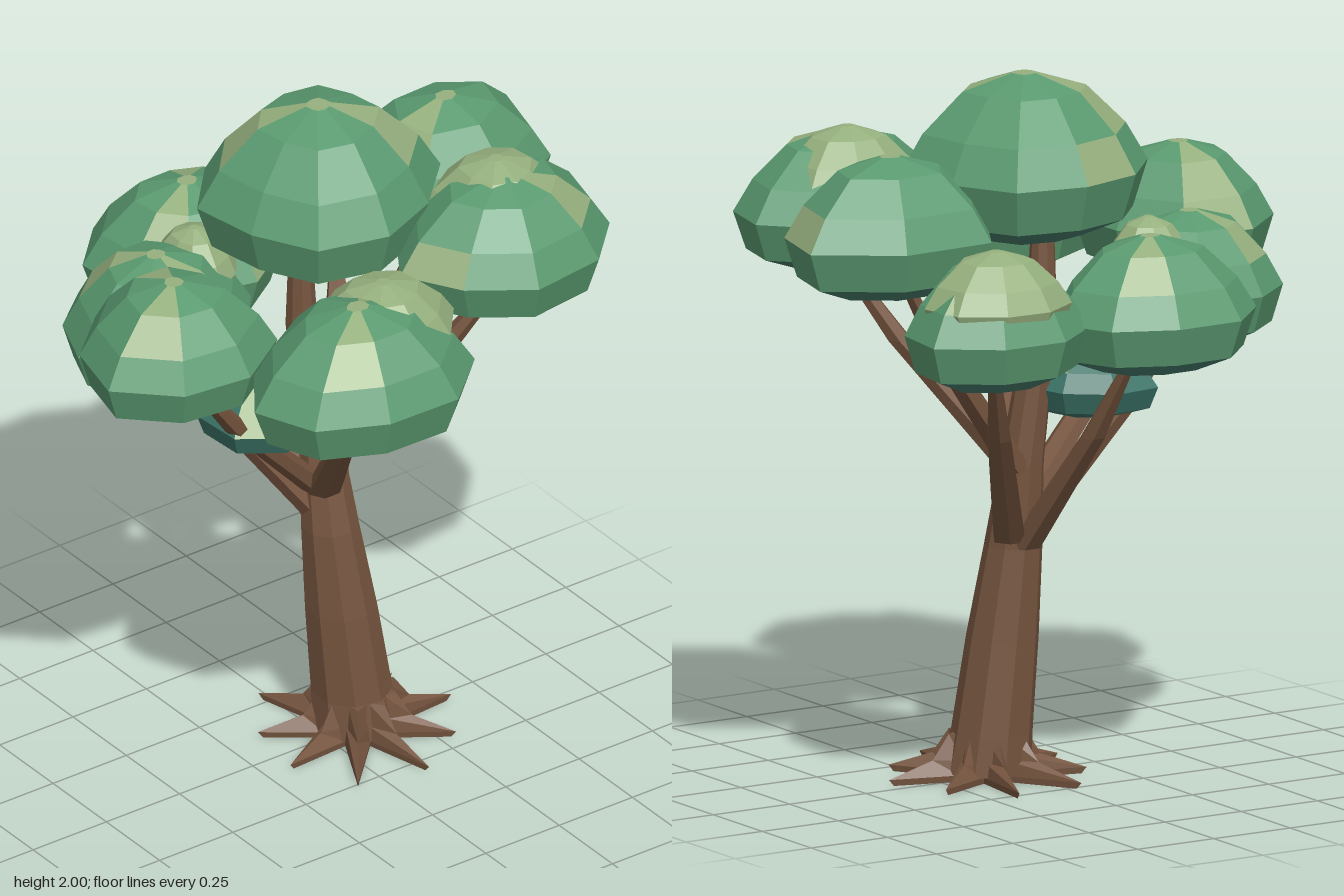
import * as THREE from 'three';

const mat = (color) => new THREE.MeshStandardMaterial({ color, flatShading: true });
const bark = mat(0x76553f);
const leaf = mat(0x5a9a70);
const leafLight = mat(0x96b07e);
const leafUnder = mat(0x487c6c);
const leafTeal = mat(0x3c7468);

// Closed ring of n points; wobble(i) scales the radius of each point
function ring(x, y, z, rx, rz, n, turn = 0, wobble = () => 1) {
  return Array.from({ length: n }, (_, i) => {
    const a = i / n * Math.PI * 2 + turn;
    return new THREE.Vector3(x + Math.cos(a) * rx * wobble(i), y, z + Math.sin(a) * rz * wobble(i));
  });
}

// Joins rings (top to bottom, ends closed to a point) with flat faces; pick(row, side) gives the material
function loft(name, rings, pick) {
  const group = new THREE.Group();
  group.name = name;
  const faces = new Map();
  const n = rings[0].length;
  for (let k = 0; k < rings.length - 1; k++) {
    for (let i = 0; i < n; i++) {
      const j = (i + 1) % n;
      const [a, b, c, d] = [rings[k][i], rings[k][j], rings[k + 1][j], rings[k + 1][i]];
      const m = pick(k, i);
      if (!faces.has(m)) faces.set(m, []);
      if (k > 0) faces.get(m).push(a, b, d);
      if (k < rings.length - 2) faces.get(m).push(b, c, d);
    }
  }
  for (const [m, points] of faces) {
    const geometry = new THREE.BufferGeometry().setFromPoints(points);
    geometry.computeVertexNormals();
    const mesh = new THREE.Mesh(geometry, m);
    mesh.name = name;
    group.add(mesh);
  }
  return group;
}

// Leaf clump: an uneven ring scaled by a domed profile of [scale, height]
const dome = [[0, 1], [0.1, 1], [0.5, 0.9], [0.82, 0.65], [1, 0.41], [0.88, 0.12], [0.5, 0], [0, 0]];
function clump(name, main, x, z, rx, rz, y0, y1, sides, turn) {
  const wobble = (i) => 1.01 + 0.06 * Math.cos(i * 2.4);
  const rings = dome.map(([s, t]) =>
    ring(x, y0 + (y1 - y0) * t, z, rx * s, rz * s, sides, turn, wobble));
  return loft(name, rings, (k, i) => {
    if (main === leafLight || k === 0) return leafLight;
    if (k > 4) return main === leaf ? leafUnder : main;
    const pale = k < 3 ? (i + sides) % 5 === 0 : k === 3 && (i * 3 + sides) % 7 === 0;
    return pale ? leafLight : main;
  });
}

// Tapered limb through [x, y, z, radius] stations, bottom to top
function limb(name, stations, sides) {
  const rings = stations.map(([x, y, z, r]) => ring(x, y, z, r, r, sides)).reverse();
  const [x, y, z] = stations[stations.length - 1];
  rings.unshift(ring(x, y, z, 0, 0, sides));
  const [bx, by, bz] = stations[0];
  rings.push(ring(bx, by, bz, 0, 0, sides));
  return loft(name, rings, () => bark);
}

export function createModel() {
  const tree = new THREE.Group();
  tree.name = 'tree';

  // Trunk leaning to the back
  tree.add(limb('trunk', [
    [0.1, 0.02, 0, 0.125], [0.093, 0.13, -0.01, 0.115], [0.067, 0.4, -0.024, 0.102],
    [0.045, 0.66, -0.045, 0.082], [0.04, 0.9, -0.08, 0.062],
    [-0.005, 1.3, -0.11, 0.045], [-0.01, 1.65, -0.11, 0.028],
  ], 9));

  // Star of nine pointed roots around the foot: height, tip radius, valley radius
  const star = [[0.13, 0, 0], [0.13, 0.115, 0.085], [0.06, 0.165, 0.095],
    [0.018, 0.3, 0.105], [0, 0.285, 0.1], [0, 0, 0]];
  tree.add(loft('roots', star.map(([y, tip, valley]) =>
    ring(0.1, y, 0.01, 1, 1, 18, 0.1, (i) => (i % 2 ? valley : tip * (1 + 0.08 * Math.sin(i * 2.3))))),
  () => bark));

  // Branches from trunk to clump, bending upward
  const branches = [
    [[0.02, 0.78, -0.04], [-0.24, 1.4, 0.46]],
    [[0.02, 0.78, -0.06], [-0.52, 1.39, 0.05]],
    [[0.05, 0.88, -0.05], [0.45, 1.5, 0.26]],
    [[0.06, 0.88, -0.09], [0.48, 1.5, -0.14]],
    [[0.02, 0.7, -0.07], [-0.38, 1.3, -0.25]],
    [[0.04, 0.66, -0.09], [-0.05, 1.28, -0.52]],
    [[0.08, 0.68, -0.08], [0.39, 1.3, -0.48]],
  ];
  for (const [p, q] of branches) {
    const at = (t, h, r) => [
      p[0] + (q[0] - p[0]) * t, p[1] + (q[1] - p[1]) * h, p[2] + (q[2] - p[2]) * t, r];
    tree.add(limb('branch', [at(0, 0, 0.05), at(0.62, 0.57, 0.037), at(1, 1, 0.016)], 6));
  }

  // Leaf clumps: x, z, radii, bottom, top, sides, turn
  tree.add(clump('crownClump', leaf, 0.035, -0.085, 0.335, 0.325, 1.55, 2, 10, 0.3));
  tree.add(clump('leftClump', leaf, 0.51, -0.14, 0.32, 0.26, 1.45, 1.83, 7, -0.35));
  tree.add(clump('frontLeftClump', leaf, 0.41, 0.27, 0.325, 0.265, 1.45, 1.82, 9, -0.3));
  tree.add(clump('frontRightClump', leaf, -0.235, 0.47, 0.325, 0.27, 1.33, 1.72, 9, 1.1));
  tree.add(clump('rightClump', leaf, -0.56, 0.055, 0.275, 0.265, 1.35, 1.71, 8, 2.85));
  tree.add(clump('backRightClump', leaf, -0.4, -0.25, 0.275, 0.25, 1.23, 1.59, 9, 3));
  tree.add(clump('backClump', leaf, -0.11, -0.5, 0.29, 0.25, 1.23, 1.6, 9, 4.2));
  tree.add(clump('backLeftClump', leaf, 0.38, -0.46, 0.26, 0.24, 1.23, 1.59, 8, -0.4));

  // Pale tufts poking out of the clumps
  tree.add(clump('paleTuft', leafLight, -0.11, 0.42, 0.2, 0.2, 1.49, 1.73, 9, 0.2));
  tree.add(clump('paleTuft', leafLight, 0.42, 0.22, 0.2, 0.2, 1.57, 1.84, 9, 0.2));
  tree.add(clump('paleTuft', leafLight, 0.38, -0.48, 0.2, 0.19, 1.36, 1.61, 9, 0.2));
  tree.add(clump('paleTuft', leafLight, -0.24, -0.29, 0.12, 0.13, 1.38, 1.6, 9, 0.2));

  // Small shaded clump beside the trunk
  tree.add(clump('lowClump', leafTeal, -0.17, -0.09, 0.19, 0.21, 1.02, 1.23, 8, 0.2));
  return tree;
}
